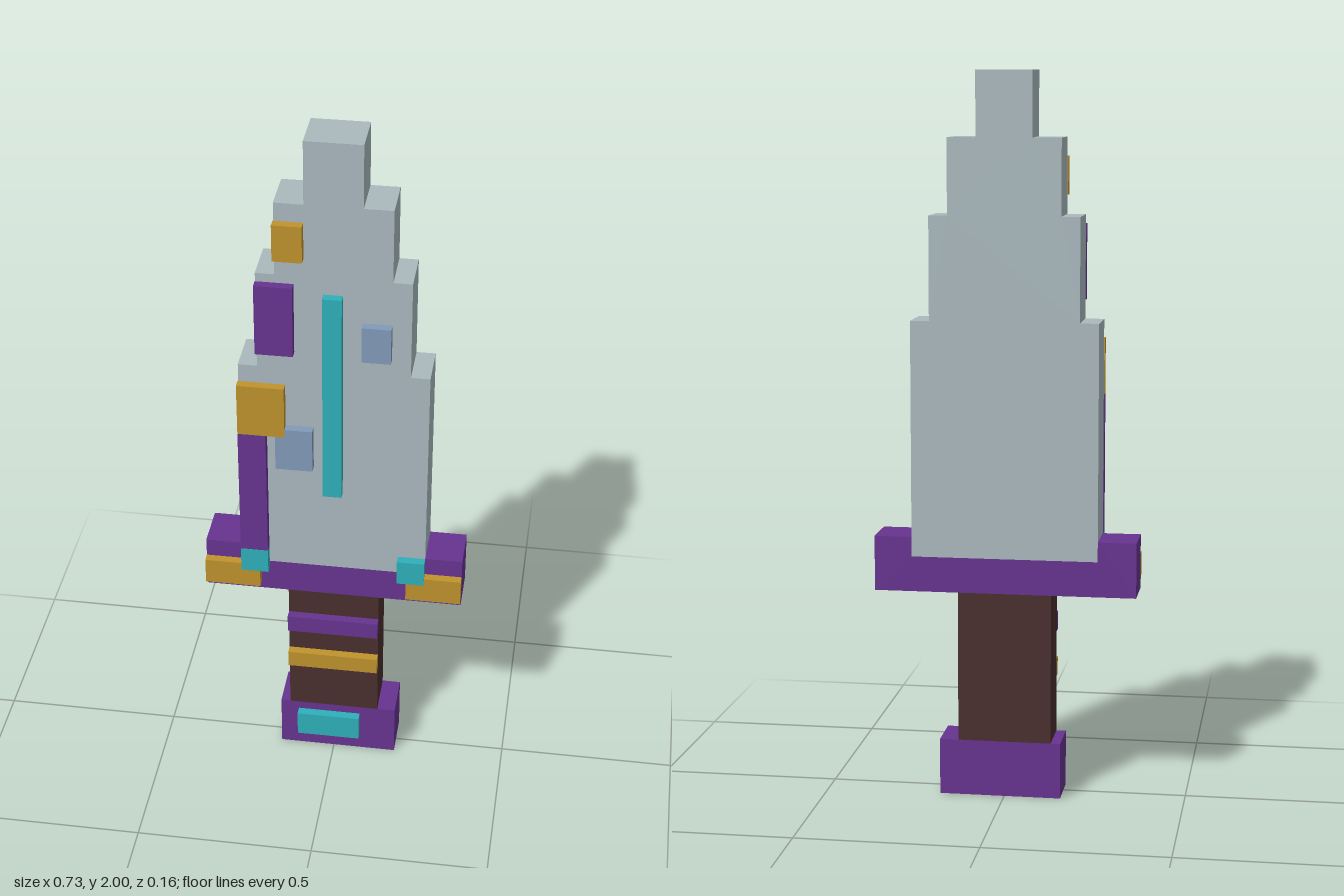
import * as THREE from 'three';

const mat = (name, color) => {
  const m = new THREE.MeshStandardMaterial({ color });
  m.name = name;
  return m;
};

export function createModel() {
  const model = new THREE.Group();
  model.name = 'dagger';

  const steel = mat('pale steel', 0xaab9be);
  const purple = mat('purple', 0x673391);
  const gold = mat('gold', 0xc0932d);
  const teal = mat('teal', 0x2fb0ba);
  const blue = mat('dusty blue', 0x829ab8);
  const brown = mat('dark brown', 0x4a2e2e);

  const BACK = -0.077, FACE = 0.052, FRONT = 0.077;

  const add = (name, geometry, material) => {
    const mesh = new THREE.Mesh(geometry, material);
    mesh.name = name;
    model.add(mesh);
  };

  // Box given by its limits
  const block = (name, material, x0, x1, y0, y1, z0 = BACK, z1 = FACE) => {
    const g = new THREE.BoxGeometry(x1 - x0, y1 - y0, z1 - z0);
    g.translate((x0 + x1) / 2, (y0 + y1) / 2, (z0 + z1) / 2);
    add(name, g, material);
  };

  // Outline extruded through the body's thickness
  const slab = (name, material, points) => {
    const shape = new THREE.Shape(points.map(([x, y]) => new THREE.Vector2(x, y)));
    const g = new THREE.ExtrudeGeometry(shape, { depth: FACE - BACK, bevelEnabled: false });
    g.translate(0, 0, BACK);
    add(name, g, material);
  };

  // Stepped blade: half width and top of each step
  const steps = [[0.258, 1.328], [0.206, 1.613], [0.155, 1.822], [0.077, 2]];
  const right = [];
  let y = 0.675;
  for (const [w, top] of steps) {
    right.push([w, y], [w, top]);
    y = top;
  }
  const left = right.map(([x, h]) => [-x, h]).reverse();
  slab('blade', steel, [...right, ...left]);

  // Guard, notched to hold the blade
  slab('guard', purple, [
    [-0.364, 0.577], [0.362, 0.577], [0.362, 0.73], [0.258, 0.73],
    [0.258, 0.675], [-0.258, 0.675], [-0.258, 0.73], [-0.364, 0.73],
  ]);

  block('grip', brown, -0.13, 0.129, 0.157, 0.577);
  block('pommel', purple, -0.157, 0.181, 0, 0.157);

  // Raised plates on the front face
  const plates = [
    ['upperGoldPlate', gold, -0.157, -0.078, 1.665, 1.77],
    ['upperPurplePlate', purple, -0.207, -0.105, 1.38, 1.588],
    ['lowerGoldPlate', gold, -0.26, -0.131, 1.12, 1.275],
    ['edgePurplePlate', purple, -0.26, -0.183, 0.73, 1.12],
    ['lowerBluePlate', blue, -0.157, -0.055, 1.015, 1.145],
    ['upperBluePlate', blue, 0.077, 0.155, 1.38, 1.485],
    ['bladeInlay', teal, -0.027, 0.025, 0.935, 1.563],
    ['guardGoldRight', gold, -0.364, -0.207, 0.6, 0.677],
    ['guardGoldLeft', gold, 0.207, 0.362, 0.6, 0.677],
    ['gripPurpleBand', purple, -0.13, 0.129, 0.446, 0.498],
    ['gripGoldBand', gold, -0.13, 0.129, 0.316, 0.366],
    ['pommelGem', teal, -0.105, 0.077, 0.055, 0.132],
  ];
  for (const p of plates) block(...p, FACE, FRONT);

  // Guard gems sit just proud of the gold plates
  block('guardGemRight', teal, -0.26, -0.183, 0.655, 0.73, FACE, FRONT + 0.001);
  block('guardGemLeft', teal, 0.181, 0.258, 0.655, 0.73, FACE, FRONT + 0.001);

  return model;
}
